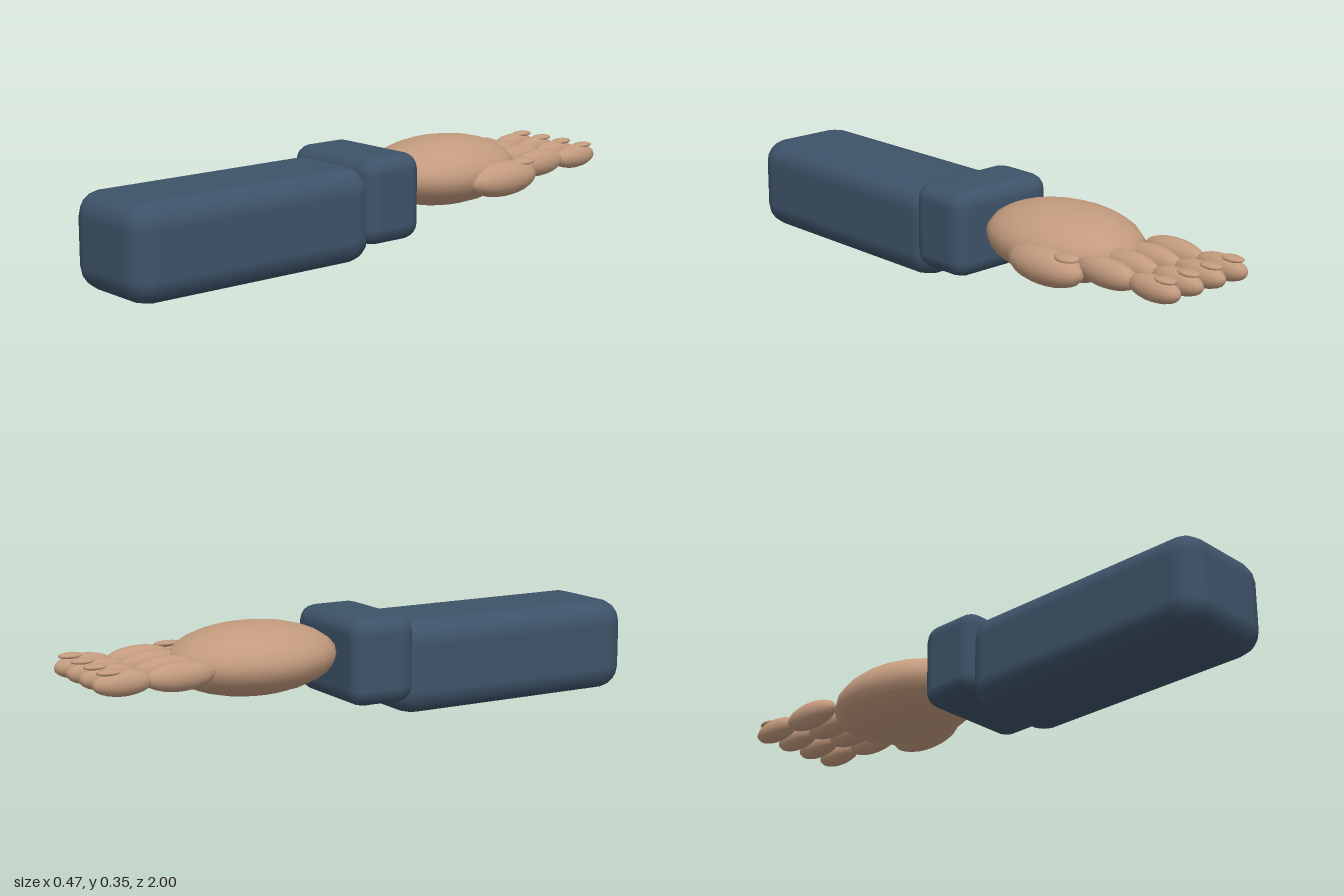
import * as THREE from 'three';
import { RoundedBoxGeometry } from 'three/addons/geometries/RoundedBoxGeometry.js';

const navy = new THREE.MeshStandardMaterial({ name: 'navy cloth', color: 0x3e5369 });
const skin = new THREE.MeshStandardMaterial({ name: 'skin', color: 0xc39b7e });

function block(name, size, radius, position) {
  const mesh = new THREE.Mesh(new RoundedBoxGeometry(...size, 2, radius), navy);
  mesh.name = name;
  mesh.position.set(...position);
  return mesh;
}

// Smooth ellipsoid given by its half sizes
function ellipsoid(name, radii, position, segments = [16, 12]) {
  const geometry = new THREE.SphereGeometry(1, ...segments).scale(...radii);
  const mesh = new THREE.Mesh(geometry, skin);
  mesh.name = name;
  mesh.position.set(...position);
  return mesh;
}

export function createModel() {
  const arm = new THREE.Group();
  arm.name = 'forearm';

  // Sleeve and the wider cuff at the wrist
  arm.add(
    block('sleeve', [0.374, 0.317, 0.93], 0.082, [-0.02, 0.1585, 0.535]),
    block('cuff', [0.407, 0.291, 0.235], 0.055, [-0.0185, 0.2005, 0.0025]),
  );

  const hand = new THREE.Group();
  hand.name = 'hand';
  hand.add(ellipsoid('palm', [0.212, 0.118, 0.293], [-0.022, 0.224, -0.387], [20, 14]));

  // Four fingers of two joints, each with a nail on top
  for (let i = 0; i < 4; i++) {
    const finger = new THREE.Group();
    finger.name = `finger${i + 1}`;
    finger.position.set(-0.175 + i * 0.1, 0.225, 0);
    finger.add(
      ellipsoid('lowerJoint', [0.043, 0.047, 0.121], [0, 0, -0.712]),
      ellipsoid('upperJoint', [0.038, 0.041, 0.1], [0, 0, -0.9]),
      ellipsoid('nail', [0.026, 0.01, 0.042], [0, 0.036, -0.943], [12, 8]),
    );
    hand.add(finger);
  }

  // Thumb on the inner side
  const thumb = new THREE.Group();
  thumb.name = 'thumb';
  const nail = ellipsoid('thumbNail', [0.033, 0.011, 0.048], [0.176, 0.256, -0.59], [12, 8]);
  nail.rotation.z = -0.15;
  thumb.add(ellipsoid('thumbJoint', [0.063, 0.061, 0.155], [0.17, 0.205, -0.493]), nail);
  hand.add(thumb);

  arm.add(hand);
  return arm;
}
